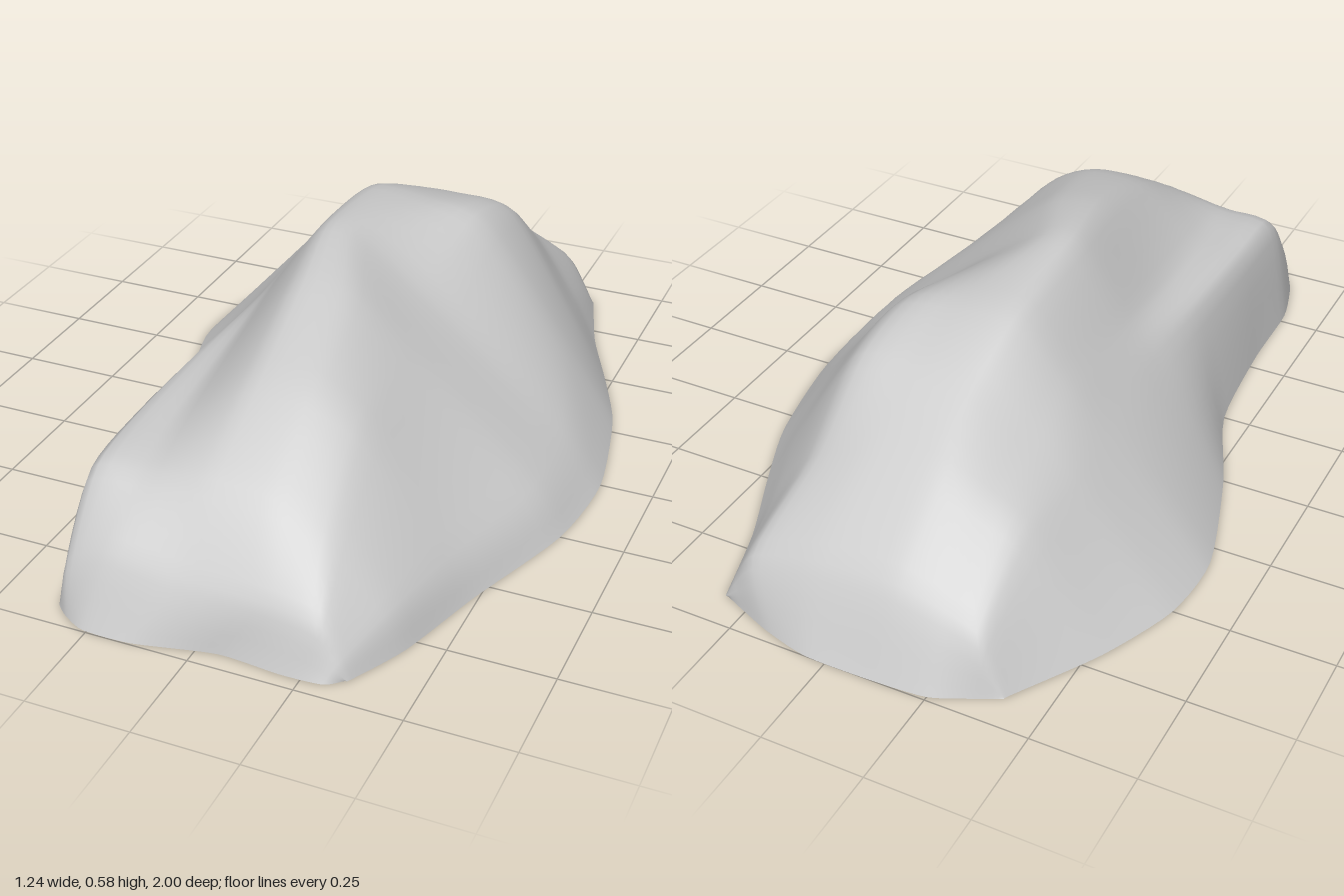
import * as THREE from 'three';

// Cross-sections from front to back: z, left base x, then (x, y) of the left shoulder, valley,
// crest, crest, right shoulder and right flank, then right base x
const SECTIONS = [
  [0.92, -0.36, -0.33, 0.12, -0.22, 0.17, -0.05, 0.15, 0.14, 0.14, 0.27, 0.12, 0.33, 0.05, 0.35],
  [0.78, -0.395, -0.34, 0.275, -0.2, 0.295, -0.05, 0.32, 0.11, 0.31, 0.25, 0.25, 0.385, 0.1, 0.42],
  [0.55, -0.4, -0.345, 0.295, -0.22, 0.33, -0.05, 0.45, 0.1, 0.455, 0.23, 0.38, 0.44, 0.11, 0.49],
  [0.25, -0.43, -0.34, 0.3, -0.24, 0.36, -0.08, 0.54, 0.06, 0.53, 0.23, 0.39, 0.52, 0.12, 0.595],
  [0, -0.53, -0.33, 0.3, -0.25, 0.395, -0.12, 0.57, -0.02, 0.568, 0.17, 0.43, 0.51, 0.13, 0.618],
  [-0.3, -0.62, -0.36, 0.285, -0.25, 0.415, -0.12, 0.55, 0.04, 0.54, 0.19, 0.495, 0.42, 0.2, 0.56],
  [-0.5, -0.61, -0.37, 0.275, -0.25, 0.37, -0.11, 0.465, 0.05, 0.475, 0.2, 0.45, 0.37, 0.19, 0.48],
  [-0.7, -0.53, -0.35, 0.26, -0.24, 0.32, -0.12, 0.36, 0.06, 0.35, 0.2, 0.295, 0.32, 0.13, 0.39],
  [-0.9, -0.41, -0.34, 0.13, -0.25, 0.17, -0.12, 0.2, 0.08, 0.185, 0.24, 0.14, 0.295, 0.06, 0.325],
];
// Ground edges closing the two ends, as (x, z)
const FRONT_EDGE = [[-0.35, 0.94], [-0.32, 0.965], [-0.26, 0.995], [-0.14, 0.995],
  [0.05, 0.955], [0.2, 0.965], [0.3, 0.96], [0.34, 0.93]];
const BACK_EDGE = [[-0.4, -0.92], [-0.34, -0.95], [-0.25, -0.99], [-0.12, -1],
  [0.05, -1], [0.17, -0.97], [0.26, -0.935], [0.32, -0.91]];

const edgeRow = (edge) => edge.map(([x, z]) => new THREE.Vector3(x, 0, z));

function sectionRow(s) {
  const row = [new THREE.Vector3(s[1], 0, s[0])];
  for (let k = 2; k < 14; k += 2) row.push(new THREE.Vector3(s[k], s[k + 1], s[0]));
  row.push(new THREE.Vector3(s[14], 0, s[0]));
  return row;
}

// Smooth curve through the points, sampled evenly between them
const smooth = (points, n) =>
  new THREE.CatmullRomCurve3(points, false, 'catmullrom', 0.35).getPoints(n);

function shellGeometry(rows, across, along) {
  const fine = rows.map((row) => smooth(row, across));
  const columns = fine[0].map((_, j) => smooth(fine.map((row) => row[j]), along));
  const positions = [], index = [];
  for (let i = 0; i <= along; i++) {
    for (let j = 0; j <= across; j++) {
      const p = columns[j][i];
      positions.push(p.x, Math.max(0, p.y), p.z);
      if (i < along && j < across) {
        const a = i * (across + 1) + j, c = a + across + 1;
        index.push(a, a + 1, c, a + 1, c + 1, c);
      }
    }
  }
  const geometry = new THREE.BufferGeometry();
  geometry.setAttribute('position', new THREE.Float32BufferAttribute(positions, 3));
  geometry.setIndex(index);
  geometry.computeVertexNormals();
  return geometry;
}

export function createModel() {
  const group = new THREE.Group();
  group.name = 'rock';
  // Thin boulder shell, open underneath
  const rows = [edgeRow(FRONT_EDGE), ...SECTIONS.map(sectionRow), edgeRow(BACK_EDGE)];
  const shell = new THREE.Mesh(
    shellGeometry(rows, 35, 50),
    new THREE.MeshStandardMaterial({ color: 0xcccccc, side: THREE.DoubleSide })
  );
  shell.name = 'rockShell';
  group.add(shell);
  return group;
}
